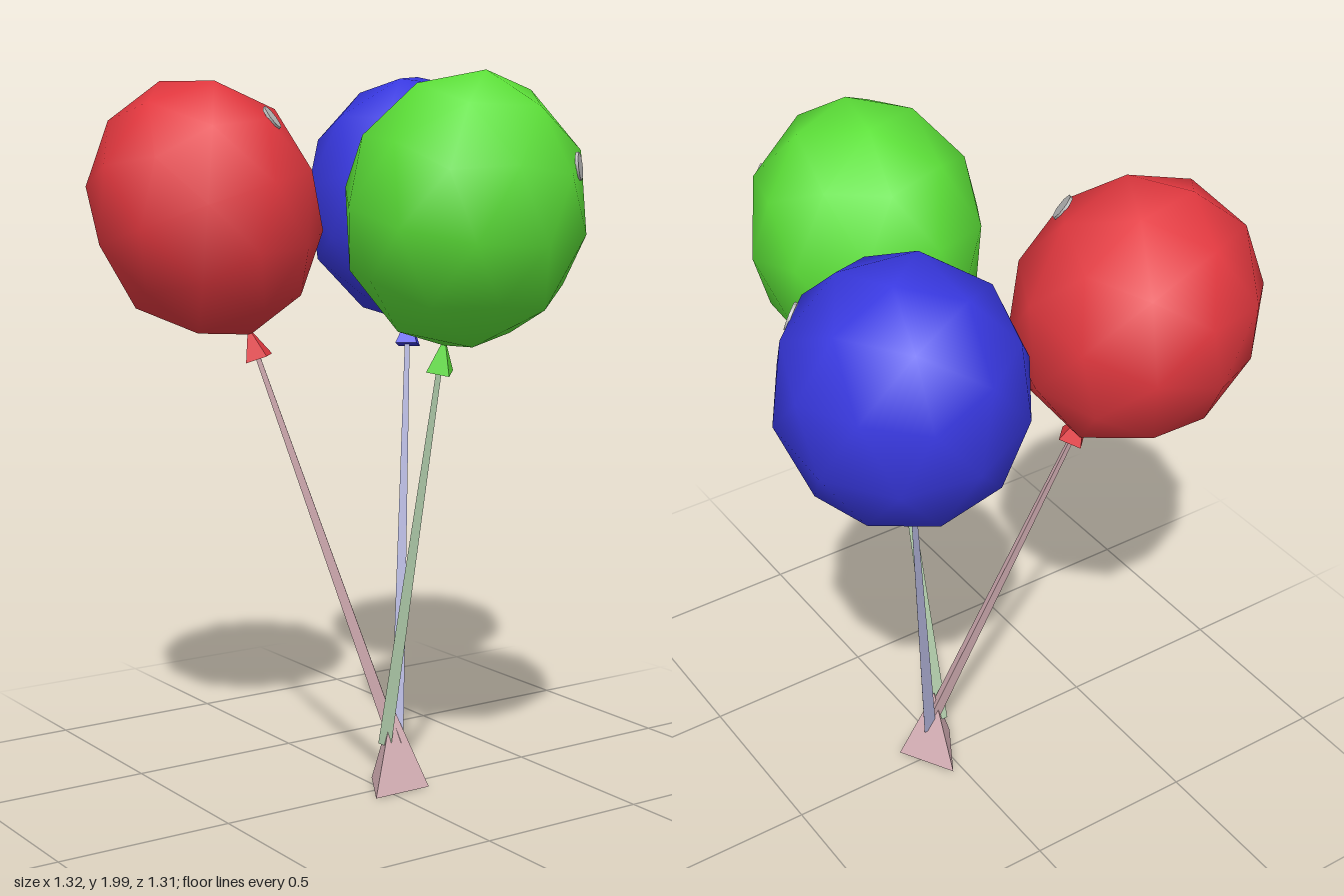
import * as THREE from 'three';

const UP = new THREE.Vector3(0, 1, 0);
const V = (a) => new THREE.Vector3(...a);

function material(name, color) {
  const m = new THREE.MeshStandardMaterial({ color });
  m.name = name;
  return m;
}

// Faceted normals without touching the material
function faceted(geometry) {
  const g = geometry.toNonIndexed();
  g.computeVertexNormals();
  return g;
}

// Tapered prism from point a to point b
function taper(name, a, b, ra, rb, sides, mat) {
  const dir = b.clone().sub(a);
  const mesh = new THREE.Mesh(faceted(new THREE.CylinderGeometry(rb, ra, dir.length(), sides)), mat);
  mesh.name = name;
  mesh.position.copy(a).add(b).multiplyScalar(0.5);
  mesh.quaternion.setFromUnitVectors(UP, dir.normalize());
  return mesh;
}

function balloon(spec, mats) {
  const group = new THREE.Group();
  group.name = spec.name;
  const center = V(spec.center);
  const knotEnd = V(spec.knot);
  const axis = center.clone().sub(knotEnd).normalize();

  // Body: smooth low-poly ball with a vertex at each pole, stretched along its axis
  const ball = new THREE.IcosahedronGeometry(0.319, 1);
  ball.rotateX(-Math.atan((1 + Math.sqrt(5)) / 2));
  ball.rotateY(THREE.MathUtils.degToRad(spec.yaw));
  ball.scale(1, 1.145, 1);
  const body = new THREE.Mesh(ball, mats.body);
  body.name = 'balloonBody';
  body.position.copy(center);
  body.quaternion.setFromUnitVectors(UP, axis);
  body.updateMatrixWorld(true);
  group.add(body);

  // Knot: small cone whose tip touches the body
  const tip = center.clone().addScaledVector(axis, -0.345);
  group.add(taper('knot', knotEnd, tip, 0.044, 0.001, 4, mats.body));

  // String: thin three-sided taper
  group.add(taper('string', V(spec.foot), knotEnd.clone().addScaledVector(axis, 0.01), 0.023, 0.009, 3, mats.string));

  // Shine: thin disc lying on the facet nearest its spot
  const out = V(spec.shine).sub(center).normalize();
  const ray = new THREE.Raycaster(center.clone().addScaledVector(out, 1), out.clone().negate());
  const hit = ray.intersectObject(body)[0];
  const normal = hit.face.normal.clone().applyQuaternion(body.quaternion);
  const shine = new THREE.Mesh(new THREE.CylinderGeometry(0.036, 0.036, 0.008, 8), mats.shine);
  shine.name = 'shine';
  shine.position.copy(hit.point).addScaledVector(normal, 0.002);
  shine.quaternion.setFromUnitVectors(UP, normal);
  group.add(shine);
  return group;
}

export function createModel() {
  const model = new THREE.Group();
  model.name = 'balloonBunch';

  const shine = material('shine grey', 0xbcbcbc);
  const pink = material('pale pink', 0xddb6bc);
  const red = { body: material('red', 0xe2383f), string: pink, shine };
  const green = { body: material('green', 0x5ce038), string: material('pale green', 0xb4d0ae), shine };
  const blue = { body: material('blue', 0x3838e0), string: material('pale blue', 0xb4b6dc), shine };

  model.add(balloon({
    name: 'redBalloon', center: [-0.35, 1.625, -0.345], knot: [-0.24, 1.215, -0.25],
    foot: [0.045, 0.13, 0.01], shine: [-0.24, 1.87, -0.175], yaw: 27,
  }, red));
  model.add(balloon({
    name: 'greenBalloon', center: [0.018, 1.638, 0.348], knot: [0.018, 1.213, 0.243],
    foot: [0.012, 0.13, 0.005], shine: [0.205, 1.755, 0.58], yaw: 24,
  }, green));
  model.add(balloon({
    name: 'blueBalloon', center: [0.346, 1.636, -0.345], knot: [0.265, 1.22, -0.255],
    foot: [0.05, 0.11, 0.01], shine: [0.535, 1.815, -0.155], yaw: 20,
  }, blue));

  // Weight: three-sided pyramid on the ground, one corner pointing back
  const weight = new THREE.Mesh(faceted(new THREE.ConeGeometry(0.104, 0.24, 3)), pink);
  weight.name = 'weight';
  weight.position.set(0.03, 0.12, 0.008);
  weight.rotation.y = Math.PI;
  model.add(weight);

  return model;
}
